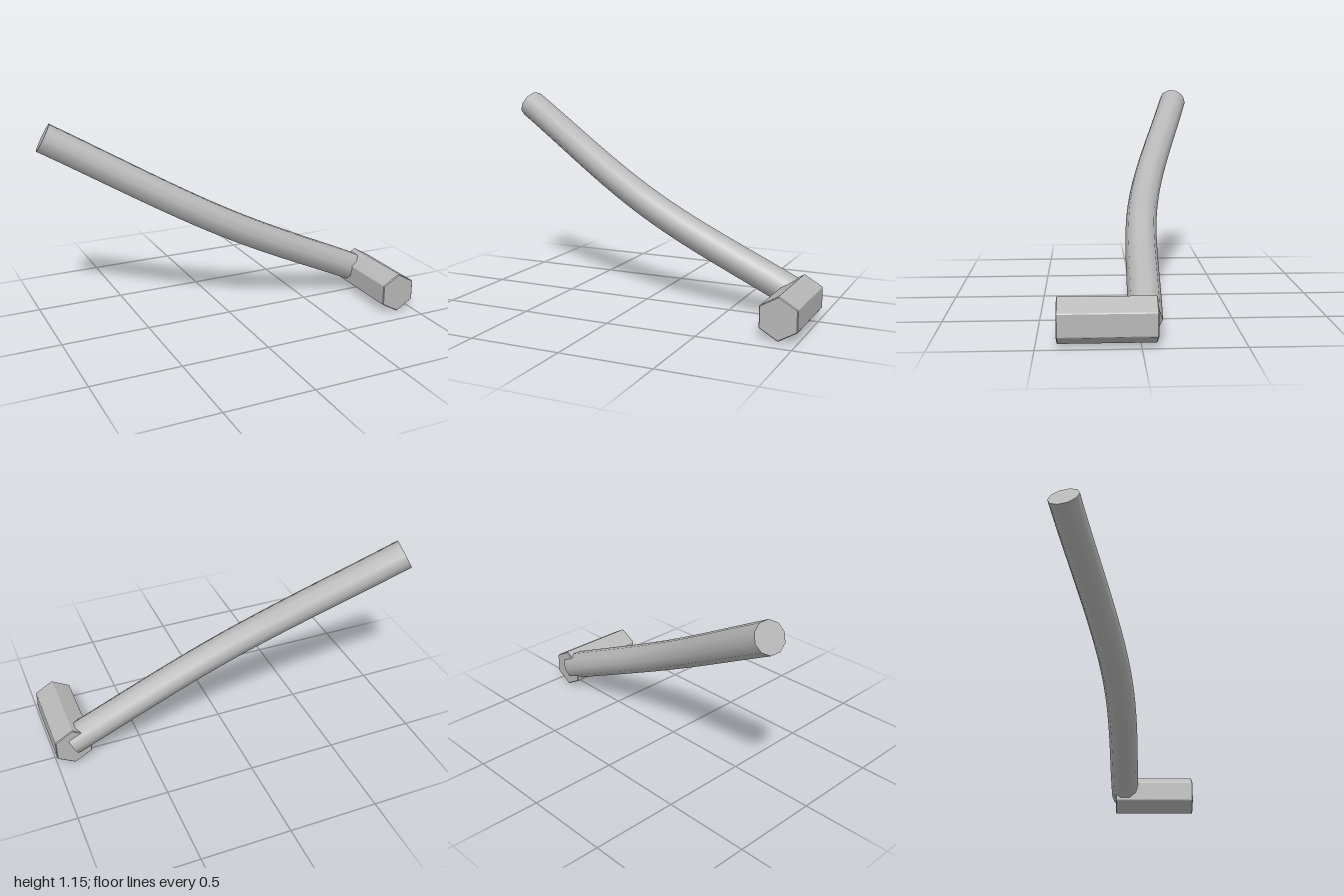
import * as THREE from 'three';

const RADIUS = 0.084;
const SIDES = 10;

// Hexagon outline with a point at the top and slightly eased corners
function hexShape(radius, ease) {
  const corner = (i) => new THREE.Vector2(
    radius * Math.sin((i * Math.PI) / 3), radius * Math.cos((i * Math.PI) / 3));
  const points = [];
  for (let i = 6; i > 0; i--) {
    points.push(corner(i).lerp(corner(i + 1), ease), corner(i).lerp(corner(i - 1), ease));
  }
  return new THREE.Shape(points);
}

// Flat end disc fanned from the centre to one ring of the tube
function endCap(tube, ring, centre, reversed) {
  const pos = tube.attributes.position;
  const coords = [];
  for (let j = 0; j < SIDES; j++) {
    const a = new THREE.Vector3().fromBufferAttribute(pos, ring * (SIDES + 1) + j);
    const b = new THREE.Vector3().fromBufferAttribute(pos, ring * (SIDES + 1) + j + 1);
    const tri = reversed ? [centre, b, a] : [centre, a, b];
    tri.forEach((p) => coords.push(p.x, p.y, p.z));
  }
  const geometry = new THREE.BufferGeometry();
  geometry.setAttribute('position', new THREE.Float32BufferAttribute(coords, 3));
  geometry.computeVertexNormals();
  return geometry;
}

export function createModel() {
  const model = new THREE.Group();
  const grey = new THREE.MeshStandardMaterial({ color: 0xb8b8b8 });
  grey.name = 'grey';
  const capGrey = grey;
  const add = (name, geometry) => {
    const mesh = new THREE.Mesh(geometry, capGrey);
    mesh.name = name;
    model.add(mesh);
    return mesh;
  };

  // Gently bent round handle
  const path = new THREE.CatmullRomCurve3([
    new THREE.Vector3(0.9, 0.115, -0.02),
    new THREE.Vector3(0, 0.537, -0.065),
    new THREE.Vector3(-0.955, 1.076, -0.318),
  ]);
  const steps = 32;
  const tube = new THREE.TubeGeometry(path, steps, RADIUS, SIDES, false);
  add('handle', tube);

  // Handle ends, each facing away from the handle
  [[0, 'handleLowerEnd'], [1, 'handleUpperEnd']].forEach(([t, name]) => {
    const centre = path.getPointAt(t);
    const outward = path.getTangentAt(t).multiplyScalar(t ? 1 : -1);
    let cap = endCap(tube, t * steps, centre, false);
    const n = new THREE.Vector3().fromBufferAttribute(cap.attributes.normal, 0);
    if (n.dot(outward) < 0) cap = endCap(tube, t * steps, centre, true);
    add(name, cap);
  });

  // Six-sided head lying along z, with finely eased edges
  const bevel = 0.004;
  const head = new THREE.ExtrudeGeometry(hexShape(0.1155, 0.03), {
    depth: 0.48 - 2 * bevel,
    bevelEnabled: true,
    bevelThickness: bevel,
    bevelSize: bevel,
    bevelOffset: -bevel,
    bevelSegments: 1,
  });
  add('head', head).position.set(0.9, 0.115, -0.08 + bevel);

  return model;
}
